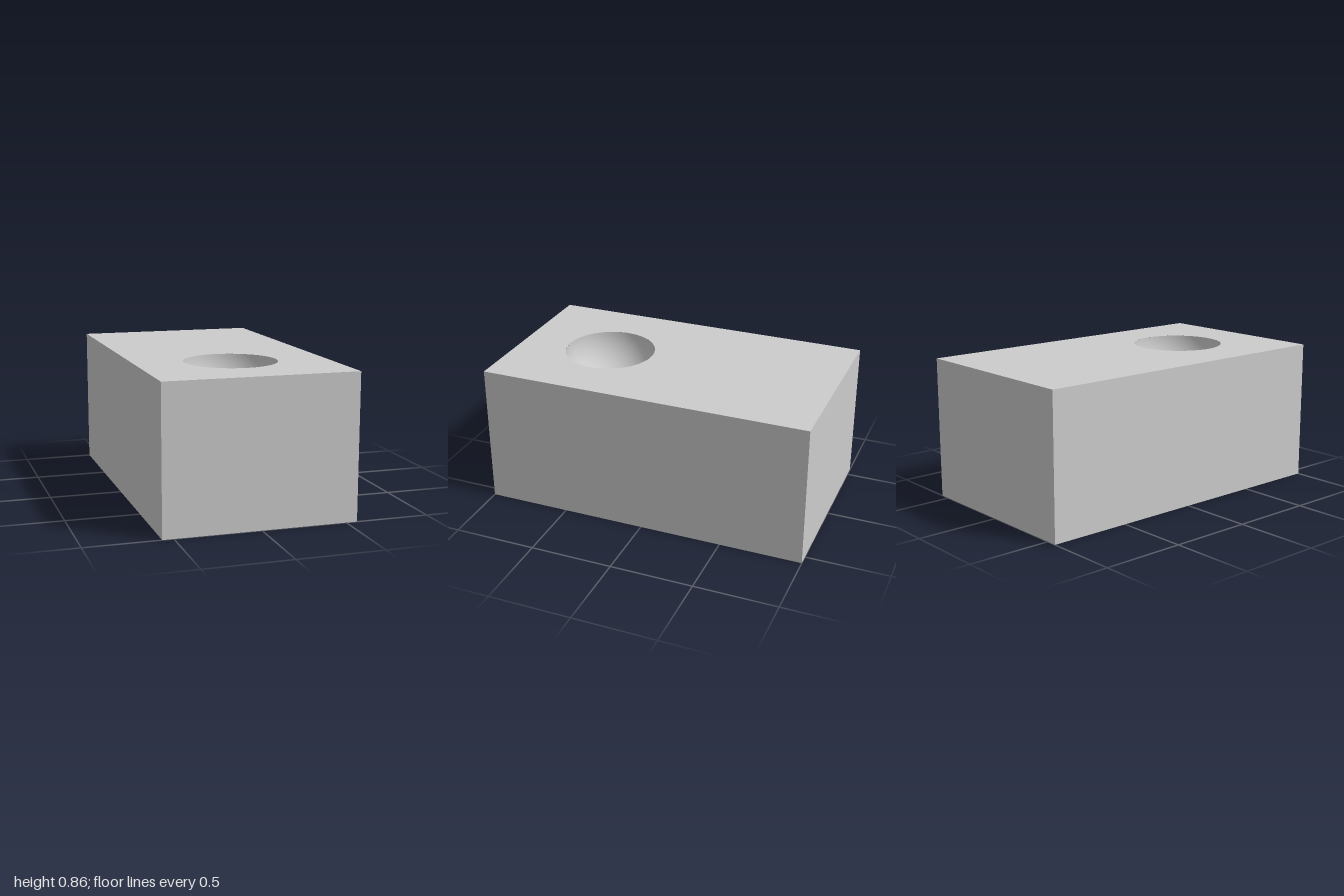
import * as THREE from 'three';

const WIDTH = 1.13, HEIGHT = 0.855, LENGTH = 2;
const BOWL_RADIUS = 0.275, BOWL_Z = 0.435, SEGMENTS = 64;

export function createModel() {
  const group = new THREE.Group();
  const material = new THREE.MeshStandardMaterial({ color: 0xcccccc });
  const add = (name, geometry) => {
    const mesh = new THREE.Mesh(geometry, material);
    mesh.name = name;
    group.add(mesh);
    return mesh;
  };

  // Block sides and underside: a box with its top face left out
  const box = new THREE.BoxGeometry(WIDTH, HEIGHT, LENGTH);
  const top = box.groups[2];
  box.setIndex(Array.from(box.index.array).filter((_, i) => i < top.start || i >= top.start + top.count));
  box.clearGroups();
  add('blockBody', box).position.y = HEIGHT / 2;

  // Top face with a round opening
  const w = WIDTH / 2, l = LENGTH / 2;
  const face = new THREE.Shape([
    new THREE.Vector2(-w, -l), new THREE.Vector2(w, -l),
    new THREE.Vector2(w, l), new THREE.Vector2(-w, l),
  ]);
  face.holes.push(new THREE.Path().absarc(0, -BOWL_Z, BOWL_RADIUS, 0, Math.PI * 2, true));
  add('topFace', new THREE.ShapeGeometry(face, SEGMENTS).rotateX(-Math.PI / 2)).position.y = HEIGHT;

  // Hemispherical hollow, profiled from rim to bottom so it faces inward
  const profile = [];
  for (let i = 0; i <= 24; i++) {
    const a = (i / 24) * Math.PI / 2;
    profile.push(new THREE.Vector2(BOWL_RADIUS * Math.cos(a), -BOWL_RADIUS * Math.sin(a)));
  }
  add('bowlHollow', new THREE.LatheGeometry(profile, SEGMENTS)).position.set(0, HEIGHT, BOWL_Z);

  return group;
}
